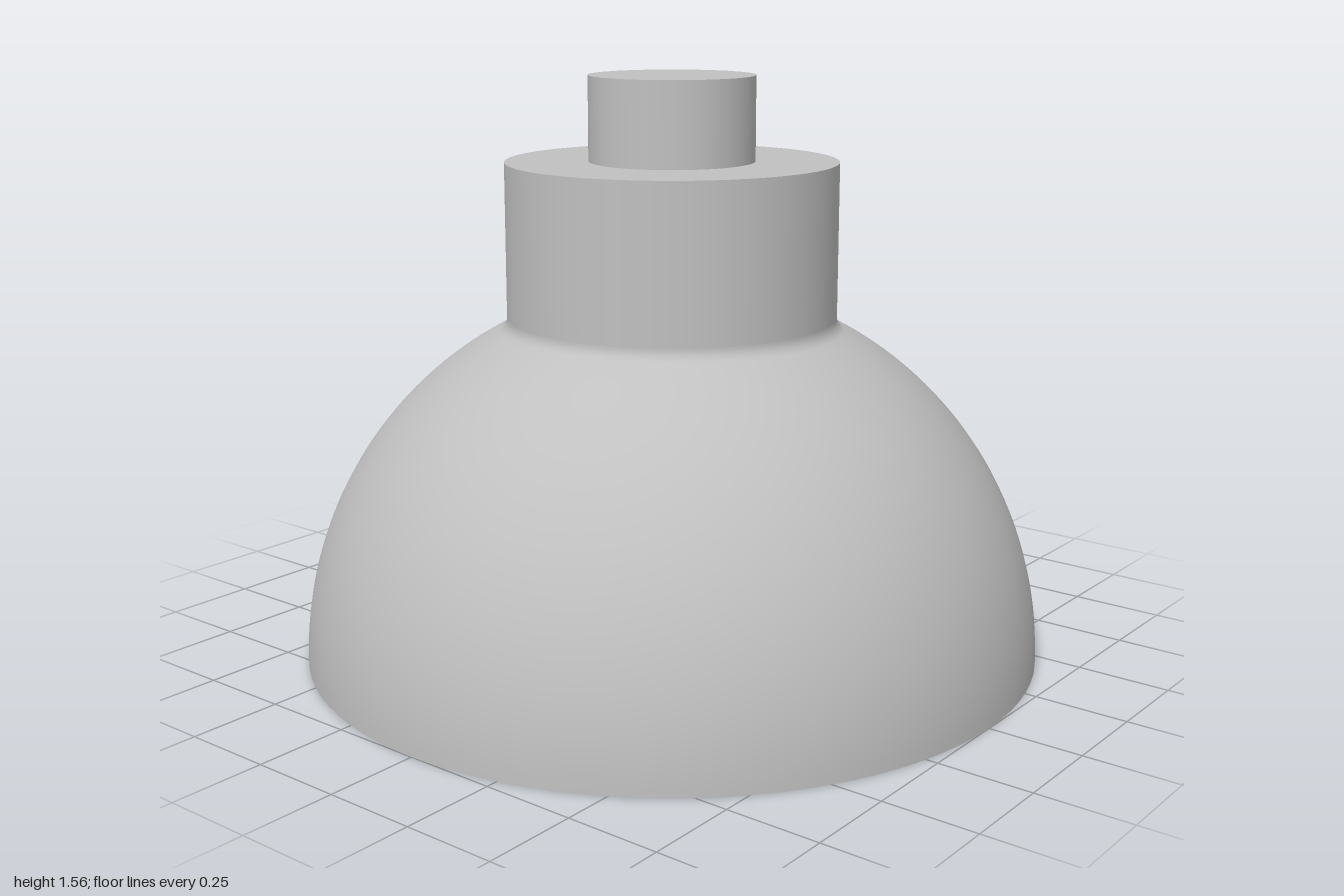
import * as THREE from 'three';

const SEGMENTS = 96;

// Points along an arc in the lathe plane
function arc(cx, cy, r, from, to, n) {
  return Array.from({ length: n + 1 }, (_, i) => {
    const a = from + ((to - from) * i) / n;
    return new THREE.Vector2(Math.max(0, cx + r * Math.cos(a)), cy + r * Math.sin(a));
  });
}

export function createModel() {
  const group = new THREE.Group();
  const grey = new THREE.MeshStandardMaterial({ color: 0xc0c0c0 });
  grey.name = 'plainGrey';

  // Each smooth stretch of the profile is its own lathe, so edges between them stay sharp
  const addLathe = (name, points) => {
    const mesh = new THREE.Mesh(new THREE.LatheGeometry(points, SEGMENTS), grey);
    mesh.name = name;
    group.add(mesh);
  };
  const line = (...pairs) => pairs.map(([x, y]) => new THREE.Vector2(x, y));

  const innerR = 0.693, neckR = 0.443, neckTop = 1.335;
  const plugR = 0.221, plugTop = 1.56;

  // Small fillet touching both the dome and the neck
  const fillet = 0.04;
  const fx = neckR + fillet;
  const fy = Math.sqrt((1 + fillet) ** 2 - fx ** 2);
  const meet = Math.atan2(fy, fx);

  // Hollow dome: inside, flat rim and outside
  addLathe('domeInside', arc(0, 0, innerR, Math.PI / 2, 0, 32));
  addLathe('domeRim', line([innerR, 0], [1, 0]));
  addLathe('domeOutside', [
    ...arc(0, 0, 1, 0, meet, 40),
    ...arc(fx, fy, fillet, meet + Math.PI, Math.PI, 8).slice(1),
  ]);

  // Neck with its flat shoulder
  addLathe('neckWall', line([neckR, fy], [neckR, neckTop]));
  addLathe('neckShoulder', line([neckR, neckTop], [plugR, neckTop]));

  // Solid plug on top
  const plug = new THREE.Mesh(
    new THREE.CylinderGeometry(plugR, plugR, plugTop - neckTop, SEGMENTS), grey);
  plug.position.y = (plugTop + neckTop) / 2;
  plug.name = 'topPlug';
  group.add(plug);

  return group;
}
